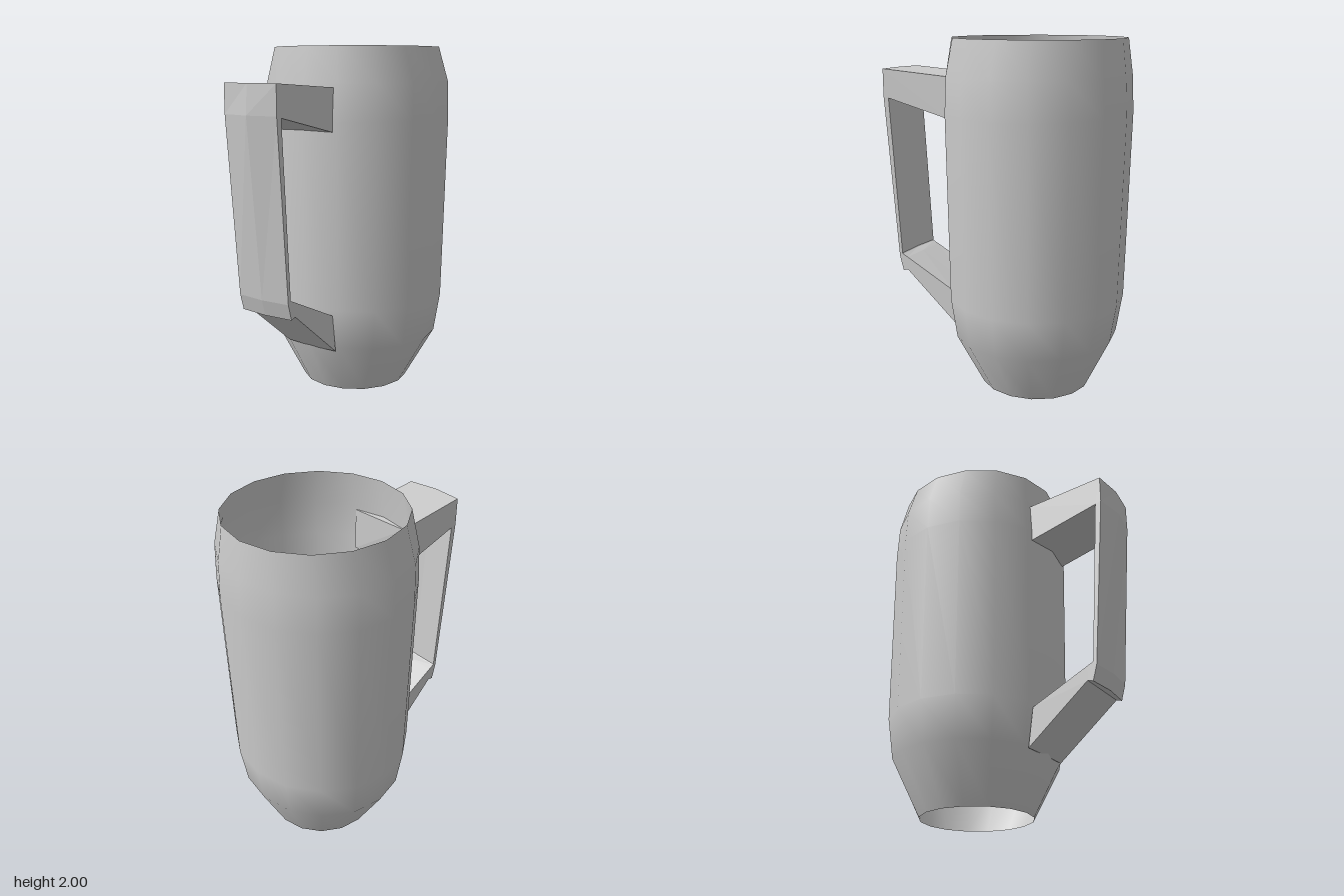
import * as THREE from 'three';

// Open, slightly oval barrel: rows of [y, half width in x, half depth in z]
function makeBody() {
  const rings = [
    [0, 0.32, 0.318], [0.31, 0.468, 0.495], [0.54, 0.503, 0.53],
    [1.6, 0.52, 0.55], [1.8, 0.508, 0.546], [2, 0.485, 0.48],
  ];
  const geo = new THREE.LatheGeometry(rings.map(([y, rx]) => new THREE.Vector2(rx, y)), 16);
  const pos = geo.attributes.position;
  for (let i = 0; i < pos.count; i++) {
    const [, rx, rz] = rings[i % rings.length];
    pos.setZ(i, pos.getZ(i) * rz / rx);
  }
  const mesh = new THREE.Mesh(geo, new THREE.MeshStandardMaterial({ color: 0xcccccc, side: THREE.DoubleSide }));
  mesh.name = 'body';
  mesh.position.x = 0.222;
  return mesh;
}

// Angular handle lofted through six-point sections, ridged along the middle
function makeHandle() {
  // outer x, outer y, inner x, inner y, half width, outer ridge, inner ridge
  const sections = [
    [-0.25, 1.78, -0.25, 1.54, 0.18, 0.01, 0.01],
    [-0.715, 1.81, -0.68, 1.64, 0.175, 0.02, 0.01],
    [-0.715, 1.65, -0.68, 1.64, 0.175, 0.03, 0.01],
    [-0.637, 0.67, -0.617, 0.69, 0.17, 0.015, 0.01],
    [-0.612, 0.58, -0.612, 0.685, 0.17, 0.015, 0.01],
    [-0.58, 0.59, -0.58, 0.67, 0.17, 0, 0],
    [-0.22, 0.29, -0.25, 0.51, 0.17, 0.01, 0.01],
  ];
  const verts = [], index = [], n = 6;
  for (const [ox, oy, ix, iy, w, ro, ri] of sections) {
    verts.push(ox, oy, -w, ox - ro, oy, 0, ox, oy, w);
    verts.push(ix, iy, w, ix - ri, iy, 0, ix, iy, -w);
  }
  for (let s = 0; s < sections.length - 1; s++) {
    for (let k = 0; k < n; k++) {
      const a = s * n + k, b = s * n + (k + 1) % n;
      index.push(a, a + n, b, b, a + n, b + n);
    }
  }
  // End caps, just inside the wall
  const last = (sections.length - 1) * n;
  for (let k = 1; k < n - 1; k++) {
    index.push(0, k, k + 1, last, last + k + 1, last + k);
  }
  const geo = new THREE.BufferGeometry();
  geo.setAttribute('position', new THREE.Float32BufferAttribute(verts, 3));
  geo.setIndex(index);
  geo.computeVertexNormals();
  const mesh = new THREE.Mesh(geo, new THREE.MeshStandardMaterial({
    color: 0xcccccc, flatShading: true, side: THREE.DoubleSide,
  }));
  mesh.name = 'handle';
  return mesh;
}

export function createModel() {
  const mug = new THREE.Group();
  mug.name = 'mug';
  mug.add(makeBody(), makeHandle());
  return mug;
}
